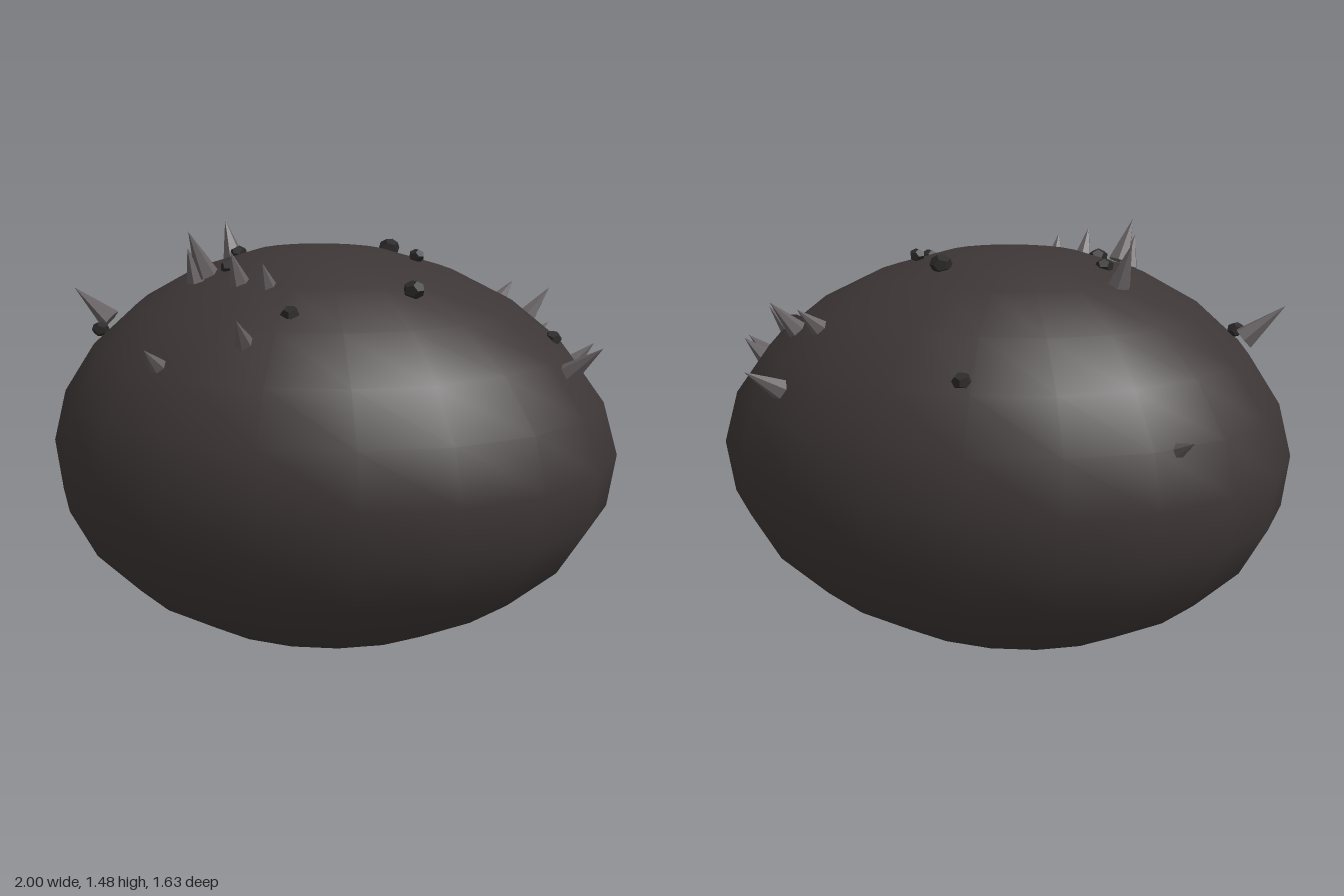
import * as THREE from 'three';
import { mergeVertices } from 'three/addons/utils/BufferGeometryUtils.js';

const mat = (name, color, flatShading = false) => {
  const m = new THREE.MeshStandardMaterial({ color, flatShading });
  m.name = name;
  return m;
};

// Slightly lopsided ellipsoid: wider below, poles shifted a little
function bodyGeometry() {
  let g = new THREE.SphereGeometry(1, 20, 12);
  g.deleteAttribute('uv');
  g.deleteAttribute('normal');
  g = mergeVertices(g);
  const p = g.attributes.position;
  for (let i = 0; i < p.count; i++) {
    const X = p.getX(i), c = p.getY(i), Z = p.getZ(i);
    p.setXYZ(i,
      X * (1 - 0.06 * c - 0.045 * c * c) - 0.04 * (1 - X * X),
      0.705 + 0.705 * c + 0.02 * (1 - c * c) - 0.015 * Z * Math.sqrt(Math.max(0, 1 - Z * Z)),
      0.815 * Z * (1 - 0.03 * c) - 0.015 * (1 - Z * Z));
  }
  g.computeVertexNormals();
  return g;
}

// Spikes: base point, then tip point
const SPIKES = [
  [-0.82, 1.12, 0.01, -0.95, 1.235, 0.02],
  [-0.62, 0.88, -0.54, -0.70, 0.95, -0.64],
  [-0.42, 1.33, -0.22, -0.46, 1.465, -0.25],
  [-0.37, 1.33, 0.23, -0.41, 1.475, 0.285],
  [-0.40, 1.31, 0.24, -0.42, 1.42, 0.27],
  [-0.225, 1.31, 0.32, -0.24, 1.425, 0.365],
  [-0.12, 1.30, 0.35, -0.125, 1.395, 0.4],
  [-0.135, 1.15, 0.55, -0.135, 1.255, 0.65],
  [-0.41, 1.07, 0.56, -0.435, 1.15, 0.645],
  [0.63, 0.99, -0.48, 0.72, 1.075, -0.58],
  [0.53, 1.165, -0.36, 0.59, 1.25, -0.43],
  [0.645, 1.13, -0.265, 0.73, 1.245, -0.315],
  [0.82, 1.0, -0.14, 0.9, 1.08, -0.155],
  [0.83, 0.99, -0.06, 0.92, 1.07, -0.07],
  [0.82, 1.02, 0.12, 0.935, 1.125, 0.165],
];

// Pebbles: centre and radius
const PEBBLES = [
  [-0.01, 1.11, -0.67, 0.032], [0.16, 1.38, -0.24, 0.038], [-0.355, 1.365, -0.08, 0.031],
  [0.29, 1.375, -0.06, 0.028], [0.765, 1.115, -0.02, 0.032], [-0.79, 1.115, 0.165, 0.031],
  [-0.3, 1.35, 0.19, 0.034], [0.34, 1.31, 0.285, 0.036], [-0.015, 1.25, 0.475, 0.032],
];

export function createModel() {
  const model = new THREE.Group();
  model.name = 'spikedBoulder';
  const bodyMat = mat('charcoal', 0x3d3636);
  const spikeMat = mat('greySpike', 0x676163, true);
  const pebbleMat = mat('darkPebble', 0x2b2828, true);

  const body = new THREE.Mesh(bodyGeometry(), bodyMat);
  body.name = 'body';
  model.add(body);

  // Cones aimed from base to tip
  const up = new THREE.Vector3(0, 1, 0);
  const spikes = new THREE.Group();
  spikes.name = 'spikes';
  for (const [bx, by, bz, tx, ty, tz] of SPIKES) {
    const base = new THREE.Vector3(bx, by, bz), tip = new THREE.Vector3(tx, ty, tz);
    const dir = tip.clone().sub(base), len = dir.length();
    const spike = new THREE.Mesh(new THREE.ConeGeometry(0.026 + 0.09 * len, len, 6), spikeMat);
    spike.name = 'spike';
    spike.position.copy(base).add(tip).multiplyScalar(0.5);
    spike.quaternion.setFromUnitVectors(up, dir.normalize());
    spikes.add(spike);
  }
  model.add(spikes);

  // Small faceted pebbles sunk into the surface
  const pebbles = new THREE.Group();
  pebbles.name = 'pebbles';
  PEBBLES.forEach(([x, y, z, r], i) => {
    const pebble = new THREE.Mesh(new THREE.DodecahedronGeometry(r), pebbleMat);
    pebble.name = 'pebble';
    pebble.position.set(x, y, z);
    pebble.rotation.y = i * 0.8;
    pebble.scale.y = 0.85;
    pebbles.add(pebble);
  });
  model.add(pebbles);
  return model;
}
